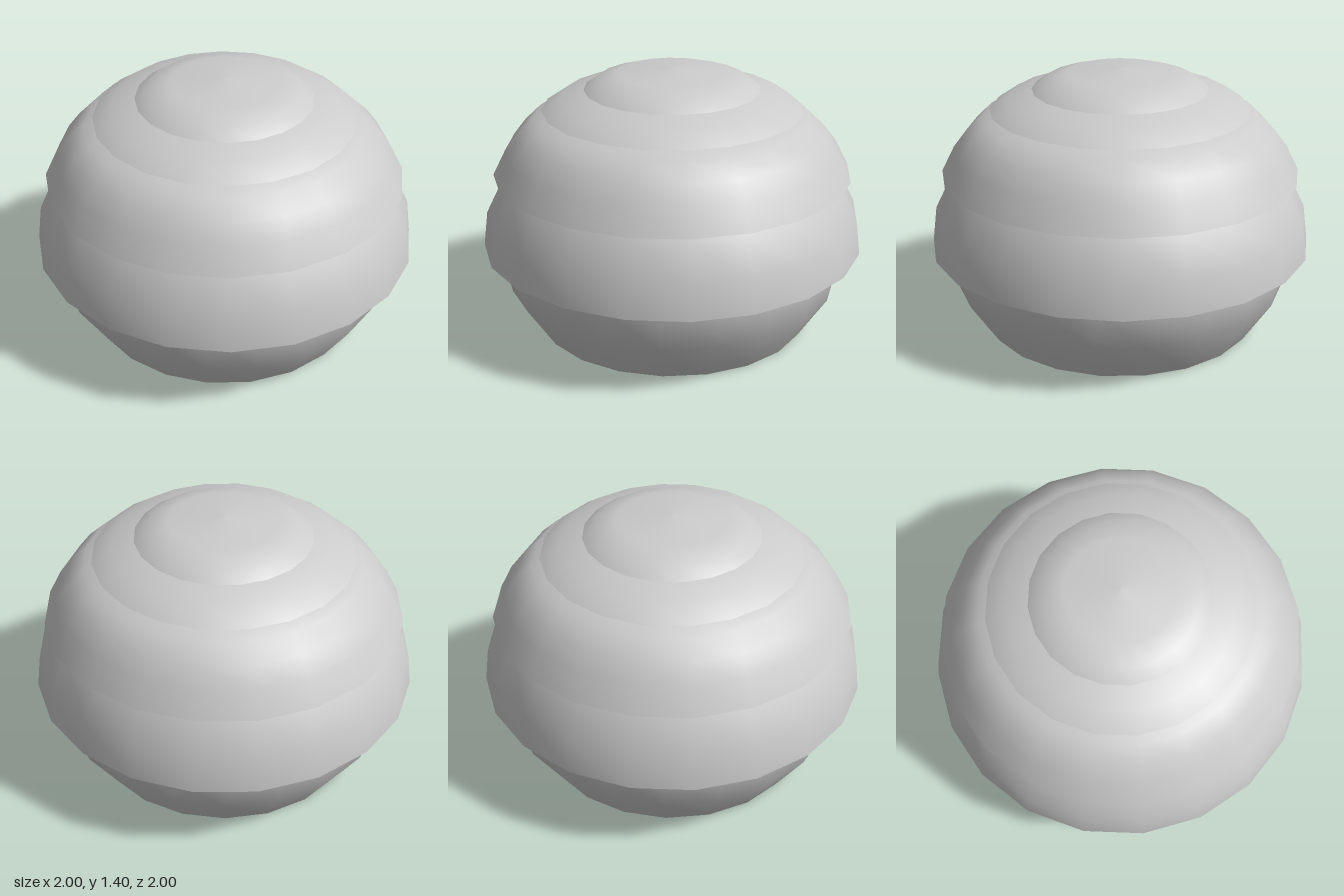
import * as THREE from 'three';

const SIDES = 20;
const HALF_STEP = Math.PI / SIDES;
const TIER_START = THREE.MathUtils.degToRad(8.6);

const material = new THREE.MeshStandardMaterial({ color: 0xcccccc, side: THREE.DoubleSide });

// Each shell is an open [radius, height] profile, from its rim upward
const tiers = {
  // overlapping skirts, each tucked under the next one
  lowerTier: [[1.011, 0.452], [0.988, 0.635], [0.897, 0.82], [0.84, 0.873], [0.73, 0.95]],
  middleTier: [[0.945, 0.846], [0.878, 0.98], [0.81, 1.07], [0.724, 1.153], [0.6, 1.19], [0.42, 1.23]],
  upperTier: [[0.682, 1.19], [0.58, 1.26], [0.43, 1.302], [0.3, 1.33]],
  // closed top
  cap: [[0.461, 1.296], [0.392, 1.346], [0.282, 1.38], [0, 1.4]],
};

// hollow body, open at the bottom
const bodyProfile = [[0.724, 0], [0.877, 0.23], [0.926, 0.452], [0.88, 0.65], [0.77, 0.85], [0.59, 1.02], [0.32, 1.14], [0, 1.18]];

function shell(name, profile, start) {
  const points = profile.map(([r, y]) => new THREE.Vector2(r, y));
  const mesh = new THREE.Mesh(new THREE.LatheGeometry(points, SIDES, start), material);
  mesh.name = name;
  return mesh;
}

export function createModel() {
  const model = new THREE.Group();
  model.name = 'tieredDome';
  // the body's corners sit halfway between those of the tiers
  model.add(shell('body', bodyProfile, TIER_START - HALF_STEP));
  for (const [name, profile] of Object.entries(tiers)) {
    model.add(shell(name, profile, TIER_START));
  }
  return model;
}
